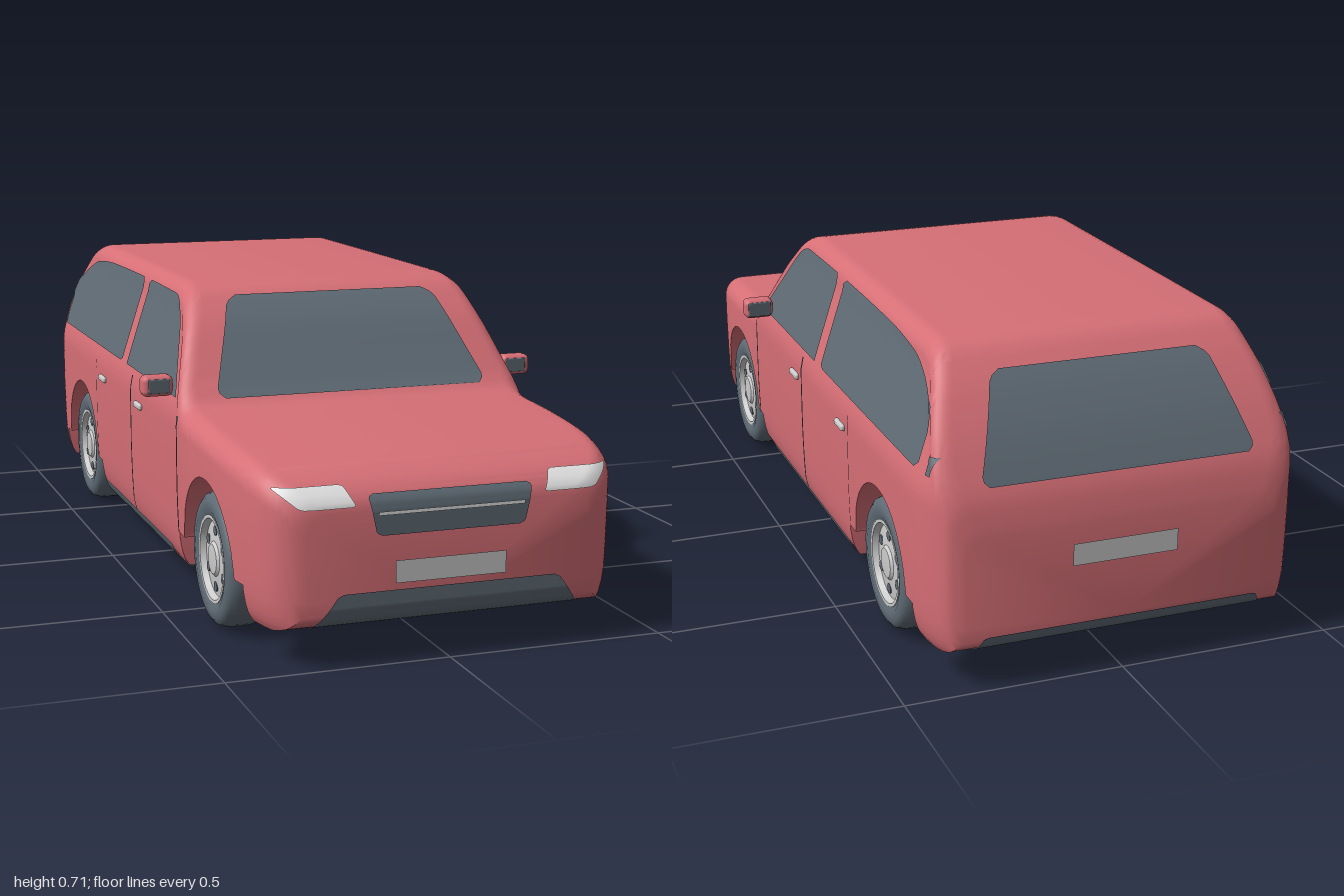
import * as THREE from 'three';
import { toCreasedNormals } from 'three/addons/utils/BufferGeometryUtils.js';
import { RoundedBoxGeometry } from 'three/addons/geometries/RoundedBoxGeometry.js';

const mat = (name, color) => new THREE.MeshStandardMaterial({ name, color, side: THREE.DoubleSide });
const lerp = THREE.MathUtils.lerp;

// Smooth curve through [t, value] points that never overshoots them
function curve(p) {
  const d = p.slice(1).map((q, i) => (q[1] - p[i][1]) / (q[0] - p[i][0]));
  const m = p.map((_, i) => {
    if (i === 0) return d[0];
    if (i === p.length - 1) return d[i - 1];
    return d[i - 1] * d[i] <= 0 ? 0 : 2 * d[i - 1] * d[i] / (d[i - 1] + d[i]);
  });
  return t => {
    if (t <= p[0][0]) return p[0][1];
    if (t >= p[p.length - 1][0]) return p[p.length - 1][1];
    let i = 0;
    while (t > p[i + 1][0]) i++;
    const h = p[i + 1][0] - p[i][0], s = (t - p[i][0]) / h, s2 = s * s, s3 = s2 * s;
    return (2 * s3 - 3 * s2 + 1) * p[i][1] + (s3 - 2 * s2 + s) * h * m[i]
      + (3 * s2 - 2 * s3) * p[i + 1][1] + (s3 - s2) * h * m[i + 1];
  };
}

// Roof and bonnet line along z
const top = curve([[-0.995, 0.35], [-0.98, 0.42], [-0.95, 0.485], [-0.9, 0.57], [-0.83, 0.66], [-0.78, 0.703],
  [-0.73, 0.714], [0.12, 0.716], [0.2, 0.703], [0.27, 0.65], [0.36, 0.54], [0.4, 0.49], [0.43, 0.463], [0.47, 0.453],
  [0.6, 0.446], [0.8, 0.432], [0.9, 0.415], [0.95, 0.395], [0.97, 0.38], [0.99, 0.355], [0.995, 0.335]]);
// Half width by height, and its narrowing towards both ends
const side = curve([[0.08, 0.408], [0.1, 0.42], [0.15, 0.431], [0.3, 0.435], [0.42, 0.435], [0.45, 0.431],
  [0.48, 0.422], [0.58, 0.39], [0.715, 0.346]]);
const plan = curve([[-0.995, 0.83], [-0.98, 0.91], [-0.95, 0.955], [-0.9, 0.99], [-0.85, 1], [0.6, 1], [0.75, 0.99],
  [0.85, 0.965], [0.92, 0.93], [0.96, 0.88], [0.985, 0.81], [0.995, 0.74]]);
// Underside, rising at the bumpers, with wheel arches cut right across
const bumper = curve([[0, 0.08], [0.93, 0.08], [0.965, 0.089], [0.985, 0.105], [0.995, 0.13]]);
const AXLE = 0.63, ARCH = 0.18;
function bottom(z) {
  const d = Math.abs(Math.abs(z) - AXLE);
  if (d < ARCH) return 0.16 + Math.sqrt(ARCH * ARCH - d * d);
  return d < 0.225 ? 0.16 : bumper(Math.abs(z));
}
const R = 0.05;
function halfX(y, z) {
  const shoulder = top(z) - R, x = side(Math.min(y, shoulder)) * plan(z), dy = y - shoulder;
  return dy <= 0 ? x : x - R + Math.sqrt(Math.max(0, R * R - dy * dy));
}
// Distance from the middle to the front (s = 1) or rear (s = -1) skin
function endZ(x, y, s) {
  let lo = 0, hi = 0.995;
  for (let i = 0; i < 30; i++) {
    const t = (lo + hi) / 2;
    if (y <= top(s * t) && y >= bumper(t) && Math.abs(x) <= halfX(y, s * t)) lo = t; else hi = t;
  }
  return lo;
}

function mesh(name, geometry, material, parent, x = 0, y = 0, z = 0) {
  const m = new THREE.Mesh(geometry, material);
  m.name = name;
  m.position.set(x, y, z);
  parent.add(m);
  return m;
}

function gridIndex(geo, rows, cols) {
  const idx = [];
  for (let i = 0; i < rows; i++) for (let j = 0; j < cols; j++) {
    const a = i * (cols + 1) + j, c = a + cols + 1;
    idx.push(a, a + 1, c + 1, a, c + 1, c);
  }
  geo.setIndex(idx);
}

// Thin sheet from a rule (u, v) -> [x, y, z]
function sheet(nu, nv, fn) {
  const pos = [];
  for (let i = 0; i <= nu; i++) for (let j = 0; j <= nv; j++) pos.push(...fn(i / nu, j / nv));
  const g = new THREE.BufferGeometry();
  g.setAttribute('position', new THREE.Float32BufferAttribute(pos, 3));
  gridIndex(g, nu, nv);
  g.computeVertexNormals();
  return g;
}

// Sheet on the front or rear: heights y0..y1, x edges [left, right] at each
function endSheet(s, y0, y1, e0, e1, round = 0, lift = 0.005) {
  return sheet(24, 20, (u, v) => {
    const y = lerp(y0, y1, v), k = Math.max(0, Math.abs(2 * v - 1) - 0.8) / 0.2, inset = round * k * k;
    const x = lerp(lerp(e0[0], e1[0], v) + inset, lerp(e0[1], e1[1], v) - inset, u);
    return [x, y, s * (endZ(x, y, s) + lift)];
  });
}

// Sheet on a flank (sx = 1 or -1) between two height curves
function flankSheet(sx, z0, z1, low, high) {
  return sheet(40, 12, (u, v) => {
    const z = lerp(z0, z1, u), y = lerp(low(z), high(z), v);
    return [sx * (halfX(y, z) + 0.004), y, z];
  });
}

// Body shell lofted through cross-sections along z
function bodyGeometry() {
  const zs = [];
  for (let i = -76; i <= 76; i++) zs.push(i * 0.0125);
  for (let i = 1; i <= 9; i++) zs.push(0.95 + i * 0.005, -0.95 - i * 0.005);
  for (const s of [1, -1]) for (const d of [ARCH, -ARCH, 0.225, -0.225])
    zs.push(s * AXLE + d - 0.0002, s * AXLE + d + 0.0002);
  zs.sort((a, b) => a - b);
  const levels = [0.08, 0.09, 0.1, 0.12, 0.15, 0.2, 0.3, 0.4, 0.42, 0.435, 0.45, 0.465, 0.48, 0.53, 0.58, 0.63, 0.7];
  const pos = [];
  let n = 0;
  for (const z of zs) {
    const yb = bottom(z), sh = top(z) - R;
    const ys = [yb, ...levels.map(l => Math.min(Math.max(l, yb), sh))];
    for (let k = 0; k <= 8; k++) ys.push(sh + R * Math.sin(k / 8 * Math.PI / 2));
    const half = ys.map(y => [halfX(y, z), y]);
    const ring = [[0, yb], ...half, ...half.slice().reverse().map(([x, y]) => [-x, y]), [0, yb]];
    n = ring.length - 1;
    ring.forEach(([x, y]) => pos.push(x, y, z));
  }
  const g = new THREE.BufferGeometry();
  gridIndex(g, zs.length - 1, n);
  const idx = Array.from(g.index.array), last = (zs.length - 1) * (n + 1);
  // Flat caps on both ends
  for (let j = 1; j < n - 1; j++) idx.push(0, j + 1, j, last, last + j, last + j + 1);
  g.setIndex(idx);
  g.setAttribute('position', new THREE.Float32BufferAttribute(pos, 3));
  return toCreasedNormals(g, 0.6);
}

export function createModel() {
  const car = new THREE.Group();
  car.name = 'car';
  const paint = mat('red paint', 0xd66f76), dark = mat('dark glass and rubber', 0x5f6b75);
  const silver = mat('silver', 0xcbcbcb), lamp = mat('lamp white', 0xe6e6e6);

  mesh('body', bodyGeometry(), paint, car);

  // Front and rear details
  mesh('windscreen', endSheet(1, 0.475, 0.69, [-0.342, 0.342], [-0.262, 0.262], 0.022), dark, car);
  mesh('rearWindow', endSheet(-1, 0.452, 0.66, [-0.32, 0.32], [-0.25, 0.25], 0.02), dark, car);
  mesh('grille', endSheet(1, 0.282, 0.37, [-0.168, 0.168], [-0.187, 0.187], 0.012), dark, car);
  mesh('grilleBar', endSheet(1, 0.326, 0.334, [-0.166, 0.166], [-0.166, 0.166], 0, 0.008), lamp, car);
  mesh('frontValance', endSheet(1, 0.081, 0.163, [-0.31, 0.31], [-0.25, 0.25], 0.01), dark, car);
  mesh('rearValance', endSheet(-1, 0.081, 0.125, [-0.34, 0.34], [-0.32, 0.32], 0.01), dark, car);
  mesh('frontPlate', endSheet(1, 0.177, 0.226, [-0.126, 0.126], [-0.126, 0.126]), silver, car);
  mesh('rearPlate', endSheet(-1, 0.26, 0.31, [-0.122, 0.122], [-0.122, 0.122]), silver, car);
  for (const s of [1, -1]) mesh('headlight',
    endSheet(1, 0.347, 0.39, [s * 0.213, s * 0.335], [s * 0.235, s * 0.387], s * 0.008, 0.006), lamp, car);

  // Dark panels underneath
  mesh('floor', new THREE.BoxGeometry(0.81, 0.008, 0.8), dark, car, 0, 0.079, 0);
  mesh('frontUndertray', new THREE.BoxGeometry(0.64, 0.006, 0.045), dark, car, 0, 0.079, 0.895);
  mesh('rearUndertray', new THREE.BoxGeometry(0.68, 0.006, 0.06), dark, car, 0, 0.079, -0.9);

  // Flank details on both sides
  const flat = y => () => y;
  const frontTop = curve([[-0.115, 0.68], [-0.105, 0.69], [0.14, 0.688], [0.18, 0.678], [0.22, 0.648], [0.3, 0.558], [0.37, 0.476]]);
  const rearTop = curve([[-0.875, 0.57], [-0.868, 0.592], [-0.82, 0.622], [-0.77, 0.648], [-0.68, 0.675], [-0.5, 0.687],
    [-0.175, 0.69], [-0.165, 0.68]]);
  const rearLow = curve([[-0.875, 0.49], [-0.865, 0.476], [-0.175, 0.475], [-0.165, 0.482]]);
  const rockerTop = curve([[-0.4, 0.085], [-0.385, 0.112], [0.315, 0.112], [0.33, 0.085]]);
  for (const s of [1, -1]) {
    const add = (name, m, z0, z1, low, high) => mesh(name, flankSheet(s, z0, z1, low, high), m, car);
    add('frontSideWindow', dark, -0.115, 0.37, flat(0.475), frontTop);
    add('rearSideWindow', dark, -0.875, -0.165, rearLow, rearTop);
    add('quarterTrim', dark, -0.93, -0.912, flat(0.475), flat(0.515));
    add('rocker', dark, -0.4, 0.33, flat(0.081), rockerTop);
    add('frontDoorGap', dark, 0.41, 0.418, flat(0.165), flat(0.44));
    add('middleDoorGap', dark, -0.034, -0.026, flat(0.11), flat(0.46));
    add('rearDoorGap', dark, -0.424, -0.421, flat(0.17), flat(0.44));
    for (const z of [0.04, -0.355])
      mesh('doorHandle', new RoundedBoxGeometry(0.014, 0.016, 0.062, 2, 0.006), silver, car, s * 0.437, 0.395, z);

    // Door mirror with glass facing back
    const mirror = new THREE.Group();
    mirror.name = 'doorMirror';
    mirror.position.set(s * 0.459, 0.496, 0.312);
    car.add(mirror);
    mesh('mirrorShell', new RoundedBoxGeometry(0.075, 0.05, 0.045, 3, 0.014), paint, mirror);
    mesh('mirrorGlass', new RoundedBoxGeometry(0.06, 0.038, 0.006, 2, 0.003), dark, mirror, 0, 0, -0.022);
    mesh('mirrorFrontInset', new RoundedBoxGeometry(0.052, 0.034, 0.006, 2, 0.003), dark, mirror, -s * 0.002, 0, 0.021);
    mesh('mirrorArm', new THREE.BoxGeometry(0.04, 0.018, 0.025), dark, mirror, -s * 0.04, -0.012, 0);
  }

  // Wheels, built with the axle along y and then turned
  const pts = a => a.map(p => new THREE.Vector2(...p));
  const tyre = toCreasedNormals(new THREE.LatheGeometry(pts([[0.098, -0.048], [0.115, -0.054], [0.135, -0.052],
    [0.147, -0.043], [0.153, -0.025], [0.154, 0], [0.153, 0.025], [0.147, 0.043], [0.135, 0.052], [0.115, 0.054],
    [0.098, 0.048], [0.098, -0.048]]), 48), 0.7);
  const rim = toCreasedNormals(new THREE.LatheGeometry(pts([[0.097, -0.048], [0.1, -0.05], [0.1, 0.05],
    [0.092, 0.05], [0.086, 0.036], [0.04, 0.042], [0.034, 0.048], [0, 0.05]]), 40), 0.5);
  const barrel = new THREE.LatheGeometry(pts([[0, 0.02], [0.09, 0.02], [0.096, -0.05]]), 40);
  const hole = new THREE.CylinderGeometry(0.012, 0.012, 0.006, 12);
  for (const s of [1, -1]) for (const z of [AXLE, -AXLE]) {
    const wheel = new THREE.Group();
    wheel.name = 'wheel';
    wheel.position.set(s * 0.37, 0.156, z);
    wheel.rotation.z = -s * Math.PI / 2;
    car.add(wheel);
    mesh('tyre', tyre, dark, wheel);
    mesh('rim', rim, silver, wheel);
    mesh('rimBarrel', barrel, silver, wheel);
    for (let i = 0; i < 6; i++) {
      const a = i / 6 * Math.PI * 2;
      mesh('rimHole', hole, dark, wheel, 0.064 * Math.cos(a), 0.038, 0.064 * Math.sin(a));
    }
  }
  return car;
}
